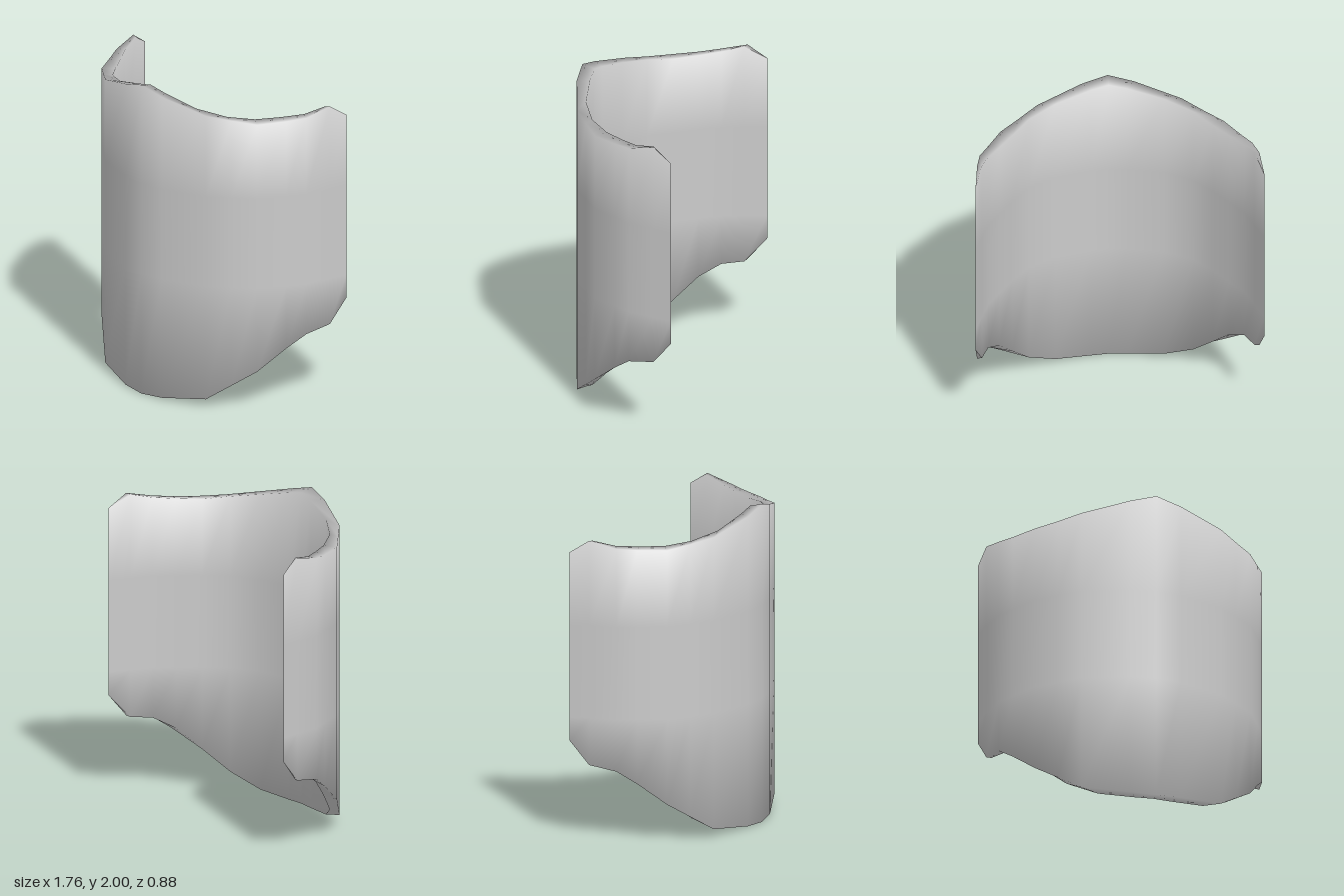
import * as THREE from 'three';

// Half of the plate, centre to side edge:
// outer x, z, top, bottom, then inner x, z, top, bottom
const HALF = [
  [0, 0.44, 2.0, 0, 0, 0.36, 1.98, 0.01],
  [0.16, 0.42, 1.958, 0.01, 0.11, 0.35, 1.955, 0.01],
  [0.44, 0.32, 1.885, 0.05, 0.33, 0.3, 1.9, 0.03],
  [0.56, 0.22, 1.86, 0.145, 0.5, 0.2, 1.865, 0.12],
  [0.68, 0.12, 1.84, 0.24, 0.61, 0.07, 1.845, 0.26],
  [0.77, -0.04, 1.845, 0.375, 0.7, -0.06, 1.85, 0.395],
  [0.83, -0.15, 1.855, 0.455, 0.78, -0.18, 1.86, 0.465],
  [0.86, -0.32, 1.895, 0.485, 0.83, -0.31, 1.89, 0.48],
  [0.88, -0.44, 1.815, 0.63, 0.88, -0.44, 1.815, 0.63],
];
const LOWER = 0.78, UPPER = 1.36; // heights where the face starts to round over
const RIM_TILT = 0.4;

function plateGeometry() {
  const mirrored = HALF.slice(1).reverse().map(([x, z, t, b, ix, iz, it, ib]) => [-x, z, t, b, -ix, iz, it, ib]);
  const columns = [...mirrored, ...HALF];
  const positions = [], index = [], ring = 8;

  // Each column is a closed loop: up the outer face, over the rim, down the inner face
  columns.forEach(([x, z, top, bottom, ix, iz, itop, ibottom], k) => {
    for (const y of [bottom, LOWER, UPPER, top]) positions.push(x, y, z);
    for (const y of [itop, UPPER, LOWER, ibottom]) positions.push(ix, y, iz);
    if (k === 0) return;
    for (let j = 0; j < ring; j++) {
      const n = (j + 1) % ring;
      const a = (k - 1) * ring + j, b = k * ring + j;
      const c = k * ring + n, d = (k - 1) * ring + n;
      index.push(a, b, c, a, c, d);
    }
  });

  const geometry = new THREE.BufferGeometry();
  geometry.setAttribute('position', new THREE.Float32BufferAttribute(positions, 3));
  geometry.setIndex(index);
  geometry.computeVertexNormals();

  // Tilt the rim normals so the faces shade softly into the edges
  const normals = geometry.attributes.normal, v = new THREE.Vector3();
  for (let i = 0; i < normals.count; i++) {
    const j = i % ring;
    const tilt = j === 3 || j === 4 ? RIM_TILT : j === 0 || j === 7 ? -RIM_TILT : 0;
    v.fromBufferAttribute(normals, i);
    v.y += tilt;
    v.normalize();
    normals.setXYZ(i, v.x, v.y, v.z);
  }
  return geometry;
}

export function createModel() {
  const group = new THREE.Group();
  group.name = 'curvedGuard';
  const material = new THREE.MeshStandardMaterial({ color: 0xcccccc });
  const plate = new THREE.Mesh(plateGeometry(), material);
  plate.name = 'curvedPlate';
  group.add(plate);
  return group;
}
